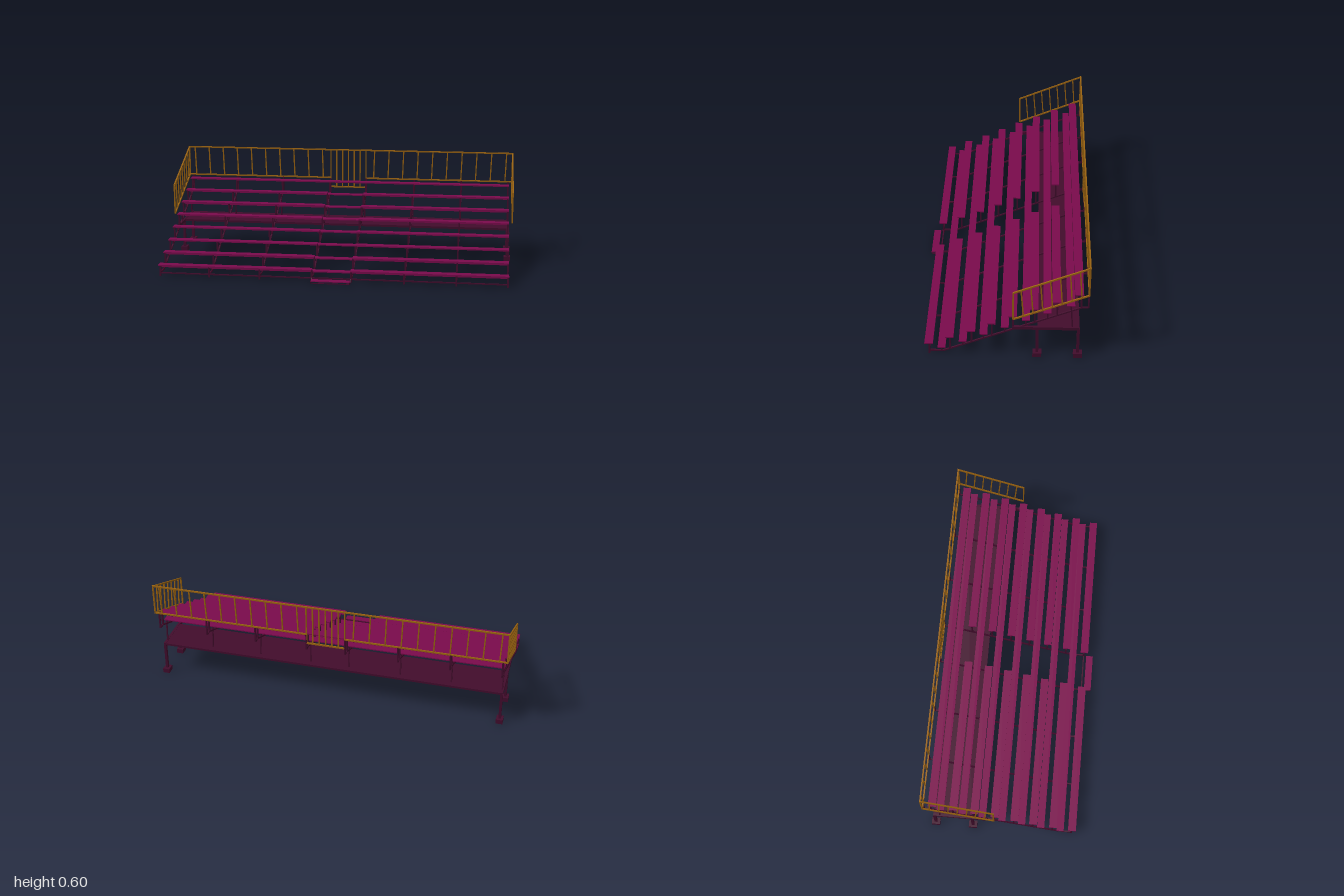
import * as THREE from 'three';

export function createModel() {
  const model = new THREE.Group();
  model.name = 'bleachers';
  const plum = new THREE.MeshStandardMaterial({ color: 0x7a0a4c });
  plum.name = 'plum planks';
  const dark = new THREE.MeshStandardMaterial({ color: 0x420c2c });
  dark.name = 'dark plum frame';
  const gold = new THREE.MeshStandardMaterial({ color: 0x996210 });
  gold.name = 'ochre railing';

  const unit = new THREE.BoxGeometry(1, 1, 1);
  const box = (parent, name, mat, sx, sy, sz, x, y, z) => {
    const m = new THREE.Mesh(unit, mat);
    m.name = name;
    m.scale.set(sx, sy, sz);
    m.position.set(x, y, z);
    parent.add(m);
    return m;
  };
  // square bar running between two points
  const bar = (parent, name, mat, a, b, t, depth = t) => {
    const p = new THREE.Vector3(...a), q = new THREE.Vector3(...b);
    const d = q.clone().sub(p);
    const mid = p.clone().add(q).multiplyScalar(0.5);
    const m = box(parent, name, mat, t, d.length(), depth, mid.x, mid.y, mid.z);
    m.quaternion.setFromUnitVectors(new THREE.Vector3(0, 1, 0), d.normalize());
    return m;
  };
  const group = (name) => {
    const g = new THREE.Group();
    g.name = name;
    model.add(g);
    return g;
  };

  const half = 0.975, aisle = 0.108;
  const seats = [[0.39, 0.067], [0.281, 0.112], [0.167, 0.156], [0.061, 0.207],
    [-0.049, 0.257], [-0.16, 0.307], [-0.275, 0.356], [-0.389, 0.405]];
  const treads = [[0.323, 0.041], [0.211, 0.086], [0.102, 0.137], [-0.009, 0.187],
    [-0.118, 0.236], [-0.229, 0.284], [-0.348, 0.335]];

  // seat planks, split by the aisle except for the top row
  const planks = group('planks');
  seats.forEach(([z, y], i) => {
    if (i === seats.length - 1) {
      box(planks, 'topSeat', plum, half * 2, 0.007, 0.045, 0, y, z);
    } else {
      for (const s of [-1, 1]) {
        box(planks, 'seat', plum, half - aisle, 0.007, 0.045, s * (half + aisle) / 2, y, z);
      }
    }
  });
  // foot planks run the full width and form the aisle steps
  treads.forEach(([z, y]) => box(planks, 'footPlank', plum, half * 2, 0.006, 0.041, 0, y, z));
  box(planks, 'entryStep', plum, aisle * 2, 0.005, 0.04, 0, 0.014, 0.424);

  // sloping frames under the planks
  const slopeY = (z) => 0.02 + Math.max(0, 0.312 - z) * 0.425;
  const frames = group('frames');
  for (const x of [-0.97, -0.69, -0.404, -0.11, 0.11, 0.404, 0.69, 0.97]) {
    const path = [[0.02, 0.39], [0.02, 0.312], [0.325, -0.405], [0.325, -0.437], [0.418, -0.437]];
    for (let i = 0; i < path.length - 1; i++) {
      bar(frames, 'stringer', dark, [x, ...path[i]], [x, ...path[i + 1]], 0.008);
    }
    seats.forEach(([z, y], i) => {
      const pz = i === 7 ? -0.4 : z - 0.003;
      const bottom = i === 0 ? 0 : slopeY(pz);
      bar(frames, 'seatPost', dark, [x, bottom, pz], [x, y - 0.003, pz], 0.009);
    });
    treads.forEach(([z, y], i) => {
      const last = i === treads.length - 1;
      bar(frames, 'footPost', dark, [x, last ? 0.19 : slopeY(z), last ? -0.359 : z],
        [x, y - 0.003, z], 0.007);
    });
  }
  box(frames, 'frontRail', dark, half * 2, 0.007, 0.007, 0, 0.018, 0.388);

  // entry step bracket
  for (const x of [-0.108, 0.108]) {
    const path = [[0.013, 0.443], [0.003, 0.44], [0.003, 0.408], [0.02, 0.39]];
    for (let i = 0; i < 3; i++) {
      bar(frames, 'stepBracket', dark, [x, ...path[i]], [x, ...path[i + 1]], 0.004);
    }
  }
  for (const z of [0.44, 0.408]) {
    box(frames, 'stepCrossBar', dark, aisle * 2, 0.004, 0.004, 0, 0.003, z);
  }

  // raised deck with side beams, legs and footings
  const deck = group('deck');
  box(deck, 'deckPlate', dark, 1.95, 0.012, 0.218, 0, 0.187, -0.287);
  for (const x of [-0.972, 0.972]) {
    box(deck, 'sideBeam', dark, 0.014, 0.017, 0.346, x, 0.186, -0.223);
    for (const z of [-0.177, -0.39]) {
      box(deck, 'leg', dark, 0.014, 0.17, 0.015, x, 0.1, z);
      box(deck, 'footing', dark, 0.038, 0.026, 0.047, x, 0.013, z);
    }
  }

  // side railings
  const rails = group('railing');
  const t = 0.008, front = -0.052, back = -0.437;
  const lowY = (z) => 0.258 + (front - z) * 0.421;
  for (const x of [-0.993, 0.993]) {
    for (const up of [0, 0.171]) {
      bar(rails, 'sideRail', gold, [x, lowY(front) + up, front], [x, lowY(back) + up, back], t);
    }
    for (const z of [front, back]) {
      bar(rails, 'endPost', gold, [x, lowY(z), z], [x, lowY(z) + 0.171, z], t);
    }
    for (let i = 0; i < 7; i++) {
      const z = -0.105 - i * 0.0492;
      bar(rails, 'sideBaluster', gold, [x, lowY(z), z],
        [x, lowY(z + 0.013) + 0.171, z + 0.013], 0.007);
    }
  }

  // back railing, reaching lower behind the aisle
  box(rails, 'backTopRail', gold, 1.994, t, t, 0, 0.593, back);
  for (const s of [-1, 1]) {
    box(rails, 'backLowerRail', gold, 0.993 - aisle, t, t, s * (0.993 + aisle) / 2, 0.42, back);
    for (let i = 0; i < 10; i++) {
      const x = s * (0.155 + i * 0.0885);
      bar(rails, 'backBaluster', gold, [x, 0.42, back], [x + s * 0.006, 0.593, back], 0.007);
    }
  }
  box(rails, 'aisleLowerRail', gold, aisle * 2, t, t, 0, 0.363, back);
  for (let i = 0; i < 7; i++) {
    const x = -aisle + (i * aisle) / 3;
    bar(rails, 'aisleBaluster', gold, [x, 0.363, back], [x, 0.593, back], 0.007);
  }
  return model;
}
